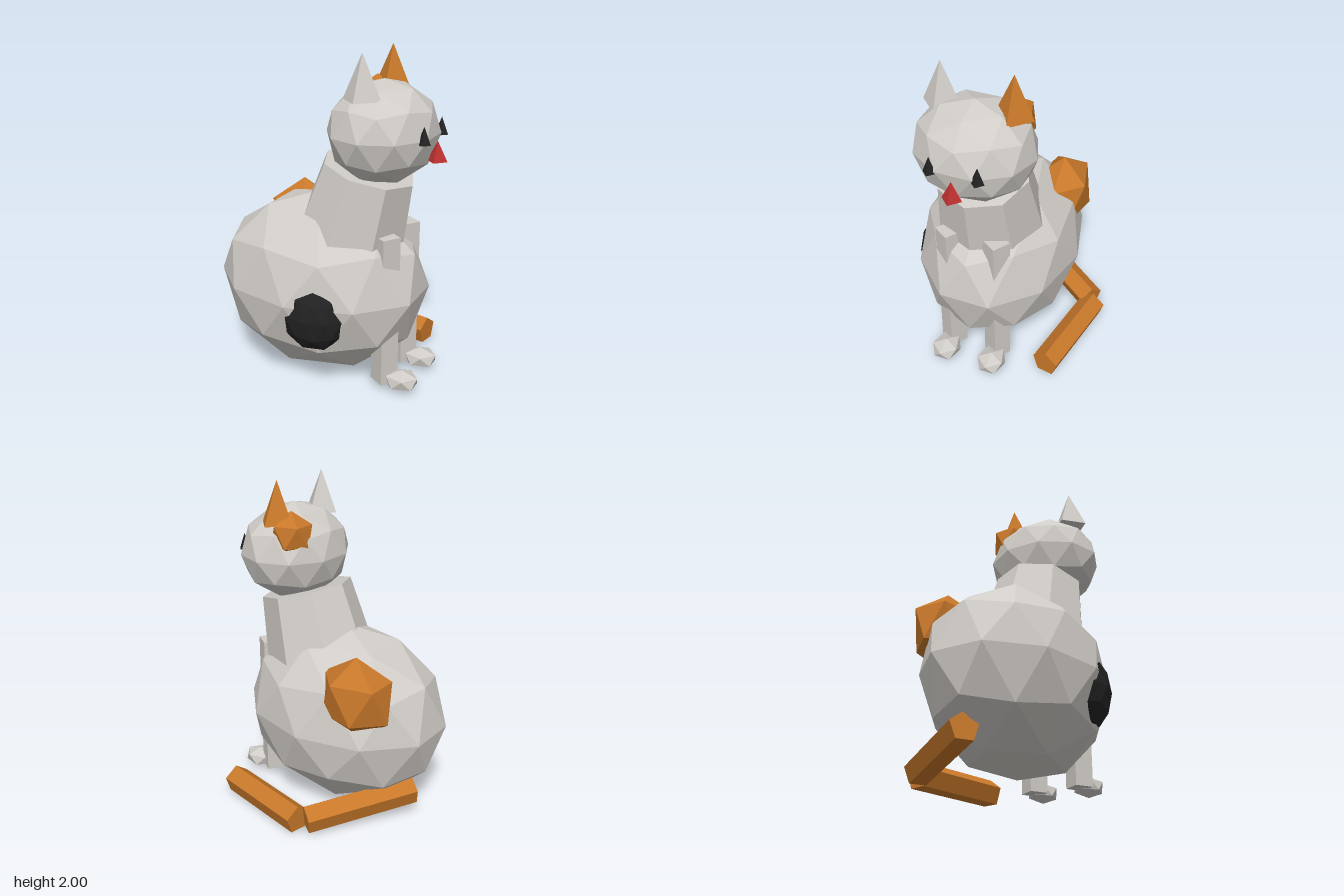
import * as THREE from 'three';

const mat = (name, color) => {
  const m = new THREE.MeshStandardMaterial({ color, flatShading: true });
  m.name = name;
  return m;
};

export function createModel() {
  const grey = mat('light grey fur', 0xd0ccc7);
  const orange = mat('orange fur', 0xc8782a);
  const black = mat('black', 0x222222);
  const red = mat('red', 0xbc3030);

  const cat = new THREE.Group();
  cat.name = 'cat';
  const MID = 0.09; // the cat's mirror plane in z; it looks along +x

  const add = (name, geometry, material, x, y, z) => {
    const mesh = new THREE.Mesh(geometry, material);
    mesh.name = name;
    mesh.position.set(x, y, z);
    cat.add(mesh);
    return mesh;
  };

  // Faceted ball with a vertex at its top and bottom
  const ball = (rx, ry, rz, detail) =>
    new THREE.IcosahedronGeometry(1, detail)
      .rotateZ(-Math.atan(2 / (1 + Math.sqrt(5))))
      .scale(rx, ry, rz);

  // Four-sided spike standing on its base
  const spike = (r, h) => new THREE.ConeGeometry(r, h, 4).translate(0, h / 2, 0);

  // Body, neck and head
  add('body', ball(0.673, 0.565, 0.505, 1), grey, -0.07, 0.568, MID);
  const neck = add('neck', new THREE.CylinderGeometry(0.28, 0.345, 0.5, 8), grey, 0.17, 1.066, MID);
  neck.rotation.z = -0.262;
  add('head', ball(0.32, 0.3, 0.36, 1), grey, 0.32, 1.535, MID);

  // Fur patches, sunk into the surface
  add('bodyPatch', ball(0.25, 0.25, 0.19, 0), orange, -0.36, 0.84, -0.21);
  add('headPatch', ball(0.14, 0.14, 0.13, 0), orange, 0.2, 1.685, -0.09);
  add('sidePatch', ball(0.215, 0.23, 0.14, 1), black, 0.055, 0.5, 0.46);

  // Paired parts
  for (const side of [-1, 1]) {
    const label = side > 0 ? 'right' : 'left';
    add(label + 'Ear', spike(0.115, 0.255), side > 0 ? grey : orange, 0.28, 1.745, MID + side * 0.21);
    add(label + 'Eye', spike(0.04, 0.1), black, 0.615, 1.52, MID + side * 0.138);

    // Long straight leg running up through the chest
    const leg = add(label + 'Leg', new THREE.BoxGeometry(0.115, 0.92, 0.115), grey, 0.415, 0.505, MID + side * 0.15);
    leg.rotation.set(0, -0.59, 0);
    add(label + 'Paw', ball(0.112, 0.065, 0.095, 0), grey, 0.53, 0.072, MID + side * 0.155);
  }

  add('nose', spike(0.06, 0.115), red, 0.645, 1.4, MID);

  // Two-piece tail: five-sided rods with one ridge on top
  const tailPoints = [[-0.595, 0.168, 0.08], [-0.2, 0.092, -0.49]];
  const tailTip = [[-0.165, 0.088, -0.515], [0.45, 0.088, -0.393]];
  [tailPoints, tailTip].forEach(([a, b], i) => {
    const from = new THREE.Vector3(...a);
    const to = new THREE.Vector3(...b);
    const along = to.clone().sub(from);
    const length = along.length();
    along.normalize();
    const across = along.clone().cross(new THREE.Vector3(0, 1, 0)).normalize();
    const ridge = across.clone().cross(along);
    const rod = add(i ? 'tailTip' : 'tailBase', new THREE.CylinderGeometry(0.087, 0.087, length, 5), orange, 0, 0, 0);
    rod.position.copy(from).add(to).multiplyScalar(0.5);
    rod.quaternion.setFromRotationMatrix(new THREE.Matrix4().makeBasis(across, along, ridge));
  });

  return cat;
}
